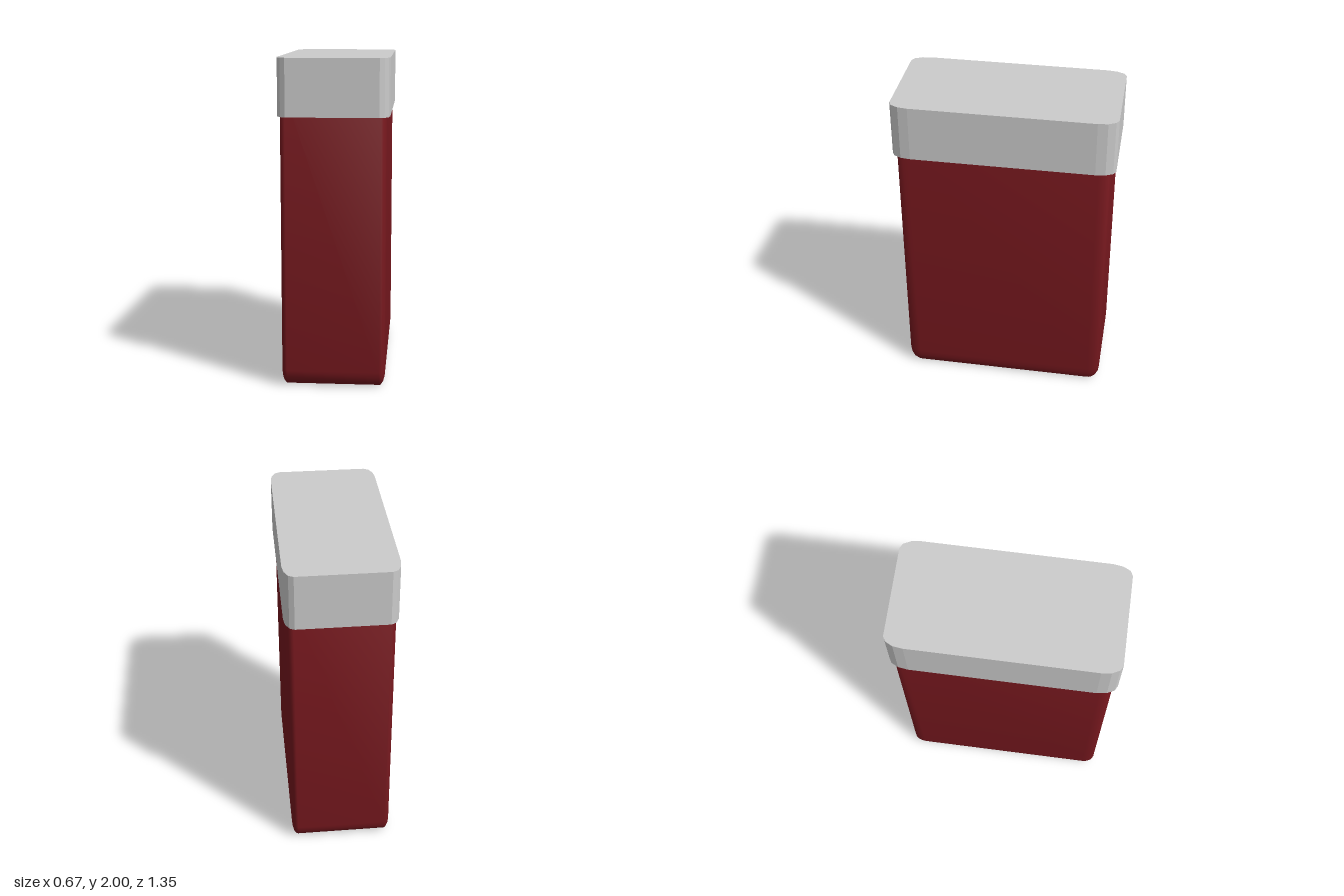
import * as THREE from 'three';

const CORNER_STEPS = 3;

// Rounded rectangle outline with elliptical corners, as [a, b] points
function outline(hx, hz, rx, rz) {
  const pts = [];
  const corners = [[1, 1], [-1, 1], [-1, -1], [1, -1]];
  corners.forEach(([sx, sz], q) => {
    for (let i = 0; i <= CORNER_STEPS; i++) {
      const a = (q + i / CORNER_STEPS) * Math.PI / 2;
      pts.push([sx * (hx - rx) + rx * Math.cos(a), sz * (hz - rz) + rz * Math.sin(a)]);
    }
  });
  return pts;
}

// Skin a stack of outlines from bottom to top
function loft(rings) {
  const positions = [], index = [];
  const n = rings[0].points.length;
  rings.forEach(({ y, points }) => points.forEach(([x, z]) => positions.push(x, y, z)));
  for (let i = 0; i < rings.length - 1; i++) {
    for (let j = 0; j < n; j++) {
      const a = i * n + j, b = i * n + (j + 1) % n;
      index.push(a, a + n, b + n, a, b + n, b);
    }
  }
  const geometry = new THREE.BufferGeometry();
  geometry.setAttribute('position', new THREE.Float32BufferAttribute(positions, 3));
  geometry.setIndex(index);
  geometry.computeVertexNormals();
  return geometry;
}

function createBody() {
  const hx = 0.318, hz = 0.648, top = 1.8;
  const rx = 0.037, rz = 0.075, ry = 0.1;
  const rings = [{ y: 0, points: outline(0, 0, 0, 0) }];
  // Rounded bottom edge
  for (let i = 0; i <= 4; i++) {
    const t = i / 4 * Math.PI / 2, s = Math.sin(t);
    rings.push({
      y: ry * (1 - Math.cos(t)),
      points: outline(hx - rx * (1 - s), hz - rz * (1 - s), rx * s, rz * s),
    });
  }
  // Straight walls, closed inside the lid
  rings.push({ y: top, points: outline(hx, hz, rx, rz) });
  rings.push({ y: top, points: outline(0, 0, 0, 0) });
  const mesh = new THREE.Mesh(loft(rings), new THREE.MeshStandardMaterial({ color: 0x74171d }));
  mesh.name = 'body';
  return mesh;
}

function createLid() {
  const bottom = 1.655, height = 0.345;
  const points = outline(0.336, 0.677, 0.06, 0.12).map(([x, z]) => new THREE.Vector2(x, z));
  const geometry = new THREE.ExtrudeGeometry(new THREE.Shape(points), { depth: height, bevelEnabled: false });
  geometry.rotateX(-Math.PI / 2).translate(0, bottom, 0);
  const mesh = new THREE.Mesh(geometry, new THREE.MeshStandardMaterial({ color: 0xcccccc }));
  mesh.name = 'lid';
  return mesh;
}

export function createModel() {
  const group = new THREE.Group();
  group.name = 'liddedContainer';
  group.add(createBody(), createLid());
  return group;
}
